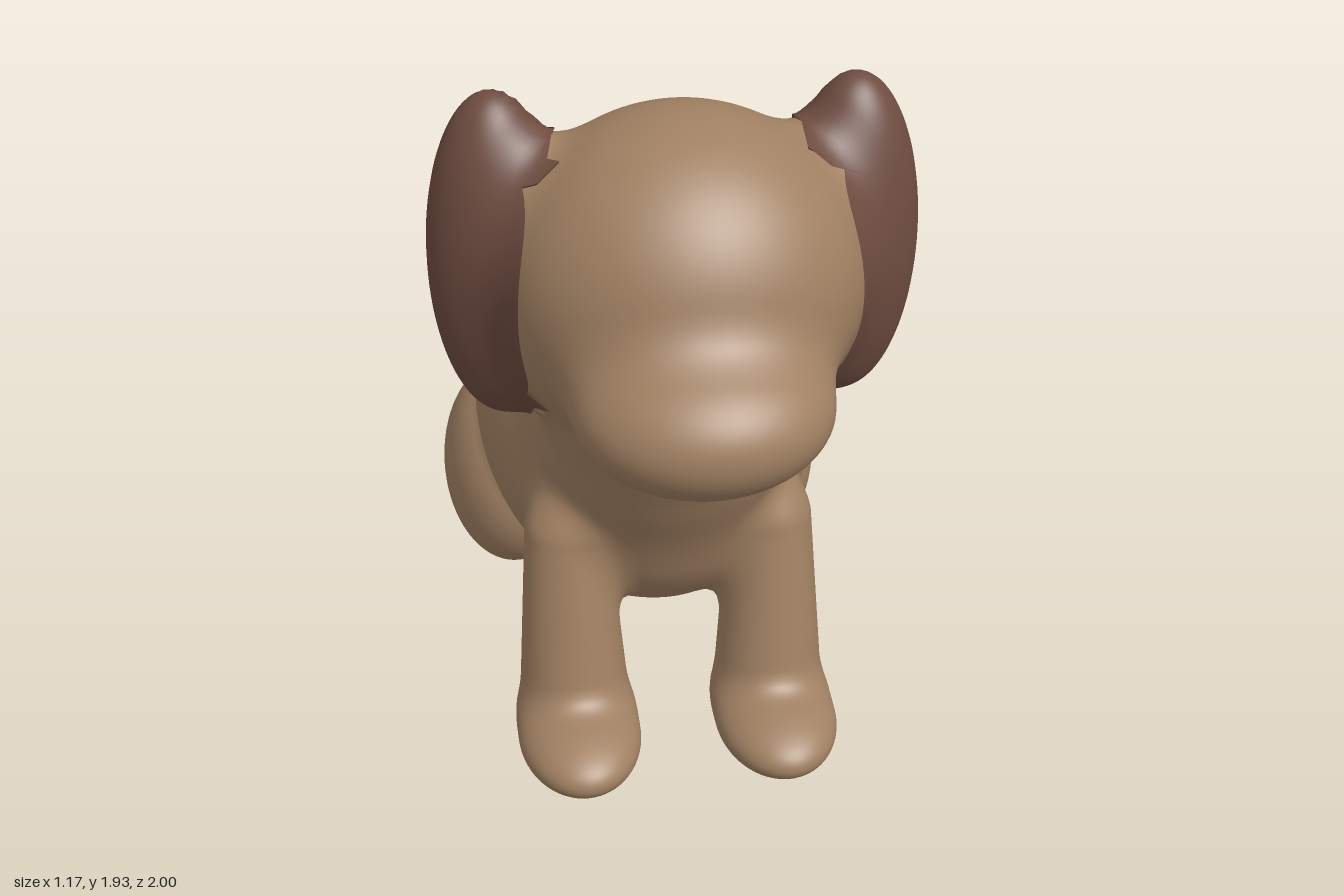
import * as THREE from 'three';

const V = (x, y, z) => new THREE.Vector3(x, y, z);
const fur = new THREE.MeshStandardMaterial({ color: 0xa08062 });
const earFur = new THREE.MeshStandardMaterial({ color: 0x6e4c40 });

// Each part is an ellipsoid (c, r) or a tapered limb (a to b); k is its blend width.
const parts = [
  { name: 'body', c: V(0, 0.75, -0.33), r: V(0.47, 0.535, 0.67), k: 0.1 },
  { name: 'neck', a: V(0, 1.35, 0.3), b: V(0, 1.0, 0.15), ra: 0.36, rb: 0.33, k: 0.12 },
  { name: 'head', c: V(0, 1.5, 0.4), r: V(0.43, 0.41, 0.4), k: 0.1 },
  { name: 'muzzle', c: V(0, 1.345, 0.74), r: V(0.295, 0.18, 0.26), k: 0.1 },
  { name: 'haunch', c: V(0.365, 0.335, -0.655), r: V(0.2, 0.31, 0.3), k: 0.06, pair: true },
  { name: 'frontLeg', a: V(0.27, 0.66, 0.2), b: V(0.265, 0.16, 0.265), ra: 0.11, rb: 0.148, k: 0.08, pair: true },
  { name: 'frontFoot', c: V(0.265, 0.13, 0.385), r: V(0.163, 0.095, 0.235), k: 0.06, pair: true },
  // the coloured patch of the ear (patch) spreads forward onto the cheek
  { name: 'ear', c: V(0.42, 1.52, 0.285), r: V(0.16, 0.41, 0.145), k: 0.12, pair: true,
    patch: { c: V(0.46, 1.515, 0.345), r: V(0.13, 0.42, 0.25) } },
];

// Distance from a point to one part
function partDistance(s, p) {
  if (s.c) {
    const x = (p.x - s.c.x) / s.r.x, y = (p.y - s.c.y) / s.r.y, z = (p.z - s.c.z) / s.r.z;
    const k0 = Math.hypot(x, y, z), k1 = Math.hypot(x / s.r.x, y / s.r.y, z / s.r.z);
    return k1 < 1e-6 ? -Math.min(s.r.x, s.r.y, s.r.z) : k0 * (k0 - 1) / k1;
  }
  const axis = s.b.clone().sub(s.a), d = p.clone().sub(s.a);
  const t = THREE.MathUtils.clamp(d.dot(axis) / axis.lengthSq(), 0, 1);
  return d.addScaledVector(axis, -t).length() - THREE.MathUtils.lerp(s.ra, s.rb, t);
}

// Smoothly blended, mirrored union of all parts
function skin(p) {
  const q = V(Math.abs(p.x), p.y, p.z);
  let f = 10;
  for (const s of parts) {
    const d = partDistance(s, q), h = Math.max(s.k - Math.abs(f - d), 0);
    f = Math.min(f, d) - h * h / (4 * s.k);
  }
  return f;
}

function gradient(p) {
  const e = 0.002, g = V(0, 0, 0);
  for (const axis of ['x', 'y', 'z']) {
    const hi = p.clone(), lo = p.clone();
    hi[axis] += e;
    lo[axis] -= e;
    g[axis] = (skin(hi) - skin(lo)) / (2 * e);
  }
  return g;
}

// Simple sphere or capsule standing in for a part
function baseGeometry(s) {
  if (s.c) {
    const geo = new THREE.SphereGeometry(1, 64, 48);
    return geo.scale(s.r.x, s.r.y, s.r.z).translate(s.c.x, s.c.y, s.c.z);
  }
  const axis = s.a.clone().sub(s.b), mid = s.a.clone().add(s.b).multiplyScalar(0.5);
  const geo = new THREE.CapsuleGeometry((s.ra + s.rb) / 2, axis.length(), 14, 48, 20);
  geo.applyQuaternion(new THREE.Quaternion().setFromUnitVectors(V(0, 1, 0), axis.normalize()));
  return geo.translate(mid.x, mid.y, mid.z);
}

// Pull the vertices near the blended skin onto it; buried ones stay inside
function fitToSkin(geo, offset) {
  const pos = geo.attributes.position, normal = geo.attributes.normal;
  for (let i = 0; i < pos.count; i++) {
    const p = new THREE.Vector3().fromBufferAttribute(pos, i);
    if (skin(p) < -0.08) continue;
    for (let n = 0; n < 6; n++) {
      const g = gradient(p);
      const step = (skin(p) - offset) / Math.max(g.lengthSq(), 0.2);
      p.addScaledVector(g, -step);
    }
    const g = gradient(p).normalize();
    pos.setXYZ(i, p.x, p.y, p.z);
    normal.setXYZ(i, g.x, g.y, g.z);
  }
  return geo;
}

const mirrorX = (v) => v && V(-v.x, v.y, v.z);

export function createModel() {
  const group = new THREE.Group();
  for (const part of parts) {
    const shape = part.patch ? { ...part, ...part.patch } : part;
    for (const side of part.pair ? ['left', 'right'] : ['']) {
      const s = side === 'right'
        ? { ...shape, c: mirrorX(shape.c), a: mirrorX(shape.a), b: mirrorX(shape.b) }
        : shape;
      const mesh = new THREE.Mesh(fitToSkin(baseGeometry(s), part.patch ? 0.005 : 0),
        part.patch ? earFur : fur);
      mesh.name = side ? side + part.name[0].toUpperCase() + part.name.slice(1) : part.name;
      group.add(mesh);
    }
  }
  return group;
}
